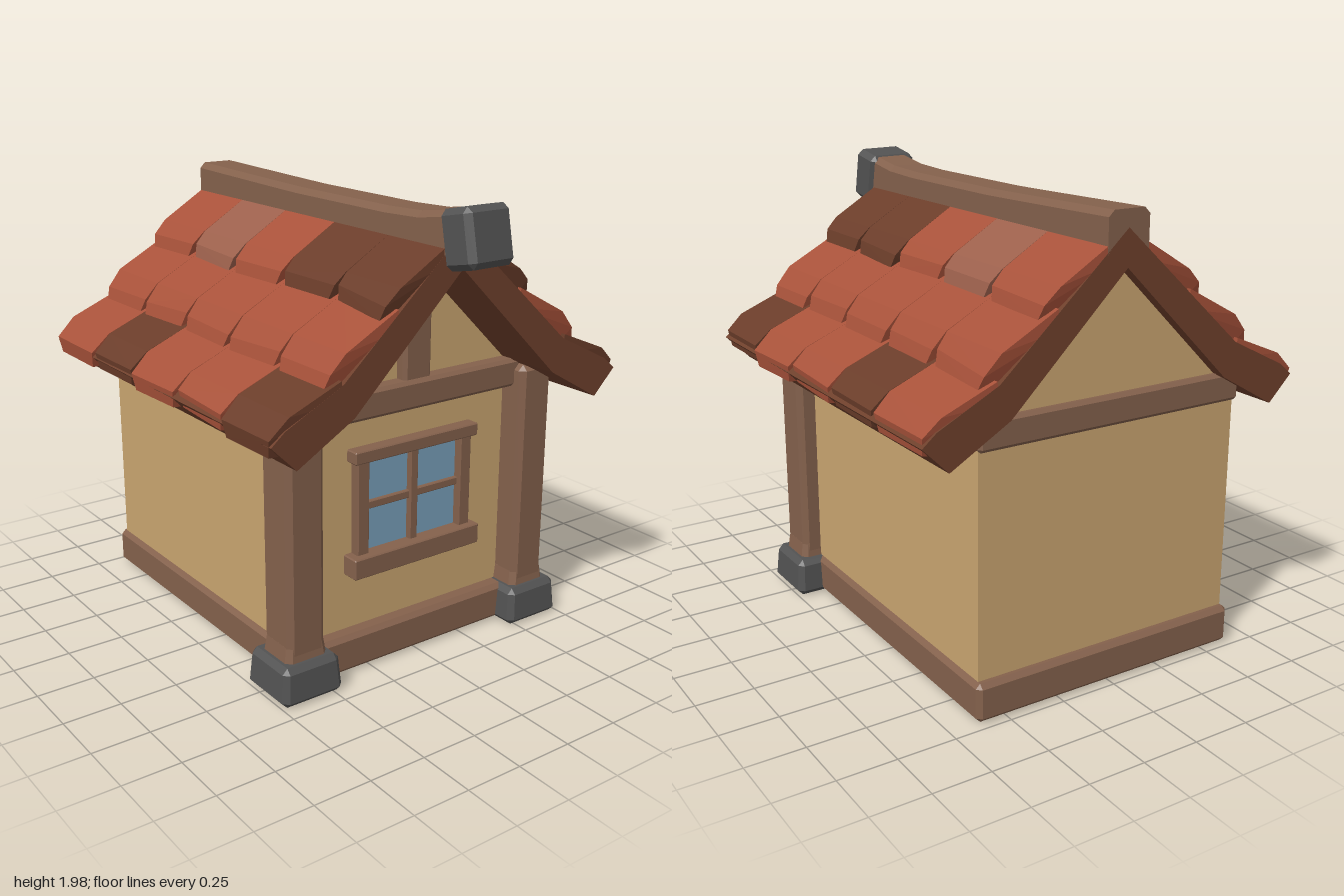
import * as THREE from 'three';
import { ConvexGeometry } from 'three/addons/geometries/ConvexGeometry.js';

const mat = (name, color) => {
  const m = new THREE.MeshStandardMaterial({ color });
  m.name = name;
  return m;
};

export function createModel() {
  const house = new THREE.Group();
  house.name = 'cottage';
  const plaster = mat('plaster', 0xc9a570), wood = mat('wood', 0x84614c);
  const stone = mat('stone', 0x525252), glass = mat('glass', 0x789fba);
  const red = mat('redTile', 0xa8523a), brown = mat('brownTile', 0x6b3d2a);
  const pale = mat('paleTile', 0x9c604c), roofWood = mat('roofWood', 0x6f402c);

  let seed = 7;
  const jitter = (a) => {
    seed = (seed * 16807) % 2147483647;
    return (seed / 2147483647 - 0.5) * 2 * a;
  };

  const add = (name, geometry, material, parent = house) => {
    const mesh = new THREE.Mesh(geometry, material);
    mesh.name = name;
    parent.add(mesh);
    return mesh;
  };

  // Box with cut edges, given by its limits; top scales the upper end
  const block = (name, material, [x0, x1], [y0, y1], [z0, z1], bevel = 0.015, top = 1) => {
    const half = [(x1 - x0) / 2, (y1 - y0) / 2, (z1 - z0) / 2];
    const points = [];
    for (const sx of [-1, 1]) for (const sy of [-1, 1]) for (const sz of [-1, 1]) {
      const k = sy > 0 ? top : 1;
      for (let full = 0; full < 3; full++) {
        const [a, b, c] = half.map((h, i) => h - (i === full ? 0 : bevel));
        points.push(new THREE.Vector3(sx * a * k, sy * b, sz * c * k));
      }
    }
    const mesh = add(name, new ConvexGeometry(points), material);
    mesh.position.set((x0 + x1) / 2, (y0 + y1) / 2, (z0 + z1) / 2);
    return mesh;
  };

  // Flat outline extruded along z
  const prism = (outline, z0, z1, steps = 1) => {
    const shape = new THREE.Shape(outline.map(([x, y]) => new THREE.Vector2(x, y)));
    return new THREE.ExtrudeGeometry(shape, { depth: z1 - z0, bevelEnabled: false, steps }).translate(0, 0, z0);
  };
  const mirrored = (half) => [...half, ...half.filter(([x]) => x > 0).reverse().map(([x, y]) => [-x, y])];

  // Walls with gables, and the sill beam they stand on
  add('walls', prism(mirrored([[0.615, 0.1], [0.615, 1.2], [0, 1.76]]), -0.94, 0.52), plaster);
  block('baseBeam', wood, [-0.635, 0.635], [0.005, 0.17], [-0.975, 0.59], 0.02);

  // Corner posts on stone feet
  for (const s of [-1, 1]) {
    const x = s * 0.605;
    block('post', wood, [x - 0.09, x + 0.09], [0.12, 1.2], [0.45, 0.64], 0.025, 1.02);
    block('postFlare', wood, [x - 0.105, x + 0.105], [0.1, 0.26], [0.44, 0.65], 0.025, 0.86);
    block('footStone', stone, [x - 0.145, x + 0.145], [0, 0.17], [0.4, 0.69], 0.025, 0.93);
  }

  // Gable timbers
  block('frontCrossBeam', wood, [-0.55, 0.55], [1.1, 1.225], [0.49, 0.59]);
  block('backCrossBeam', wood, [-0.625, 0.625], [1.1, 1.225], [-0.968, -0.9]);
  block('kingPost', wood, [-0.075, 0.07], [1.2, 1.75], [0.49, 0.57]);

  // Front window
  add('windowGlass', new THREE.BoxGeometry(0.52, 0.42, 0.008).translate(0, 0.7, 0.524), glass);
  block('windowLintel', wood, [-0.325, 0.325], [0.915, 0.97], [0.5, 0.58], 0.005);
  block('windowSill', wood, [-0.34, 0.33], [0.42, 0.51], [0.5, 0.6], 0.005);
  for (const s of [-1, 1]) block('windowJamb', wood, [s * 0.273 - 0.03, s * 0.273 + 0.03], [0.5, 0.92], [0.5, 0.565], 0.005);
  block('windowMullion', wood, [-0.02, 0.02], [0.5, 0.92], [0.5, 0.555], 0.004);
  block('windowCrossbar', wood, [-0.25, 0.25], [0.695, 0.73], [0.5, 0.545], 0.004);

  // Roof deck, kicked out at the eaves
  add('roofDeck', prism([
    [0, 1.72], [0.51, 1.22], [0.77, 1.07], [0.88, 1.18], [0.82, 1.23], [0.56, 1.36], [0, 1.87],
    [-0.56, 1.36], [-0.82, 1.23], [-0.88, 1.18], [-0.77, 1.07], [-0.51, 1.22],
  ], -1, 0.82), roofWood);

  // Tiles: side profile of each row from ridge to eave, colours from front to back
  const rows = [
    { profile: [[0.06, 1.83], [0.3, 1.685], [0.355, 1.63], [0.37, 1.575]], colors: [brown, brown, red, pale, red] },
    { profile: [[0.31, 1.605], [0.55, 1.475], [0.61, 1.405], [0.63, 1.345]], colors: [red, red, red, red, red] },
    { profile: [[0.57, 1.375], [0.8, 1.28], [0.875, 1.21], [0.865, 1.14]], colors: [brown, red, red, brown, red] },
  ];
  const columns = [0.82, 0.475, 0.11, -0.26, -0.62, -1];
  const tiles = new THREE.Group();
  tiles.name = 'roofTiles';
  house.add(tiles);
  const spread = [1, 0.99, 0.94, 0.84];
  for (const s of [-1, 1]) for (const { profile, colors } of rows) colors.forEach((material, c) => {
    const mid = (columns[c] + columns[c + 1]) / 2;
    const half = (columns[c] - columns[c + 1]) / 2;
    const points = [];
    for (const side of [-1, 1]) {
      const drop = jitter(0.012);
      profile.forEach(([x, y], i) => {
        const slip = i > 1 ? drop : 0;
        points.push(new THREE.Vector3(s * (x + slip), y - slip, mid + side * half * spread[i]));
      });
      // Hidden underside
      points.push(new THREE.Vector3(s * (profile[0][0] - 0.01), profile[0][1] - 0.08, mid + side * half));
      points.push(new THREE.Vector3(s * (profile[3][0] - 0.06), profile[3][1] - 0.01, mid + side * half * 0.84));
    }
    add('tile', new ConvexGeometry(points), material, tiles);
  });

  // Ridge beam, bent up towards the front
  const ridge = prism(mirrored([[0.095, 1.75], [0.095, 1.895], [0.07, 1.92]]), -1, 0.86, 9);
  const pos = ridge.attributes.position;
  for (let i = 0; i < pos.count; i++) {
    const z = pos.getZ(i);
    pos.setY(i, pos.getY(i) + Math.max(0, z - 0.6) * 0.15 + Math.max(0, -0.2 - z) * 0.025);
  }
  ridge.computeVertexNormals();
  add('ridgeBeam', ridge, wood);

  // Stone cap on the ridge end
  const cap = block('ridgeCap', stone, [-0.12, 0.115], [1.738, 1.972], [0.815, 0.98], 0.025);
  cap.rotation.set(-0.2, 0.05, 0);

  return house;
}
